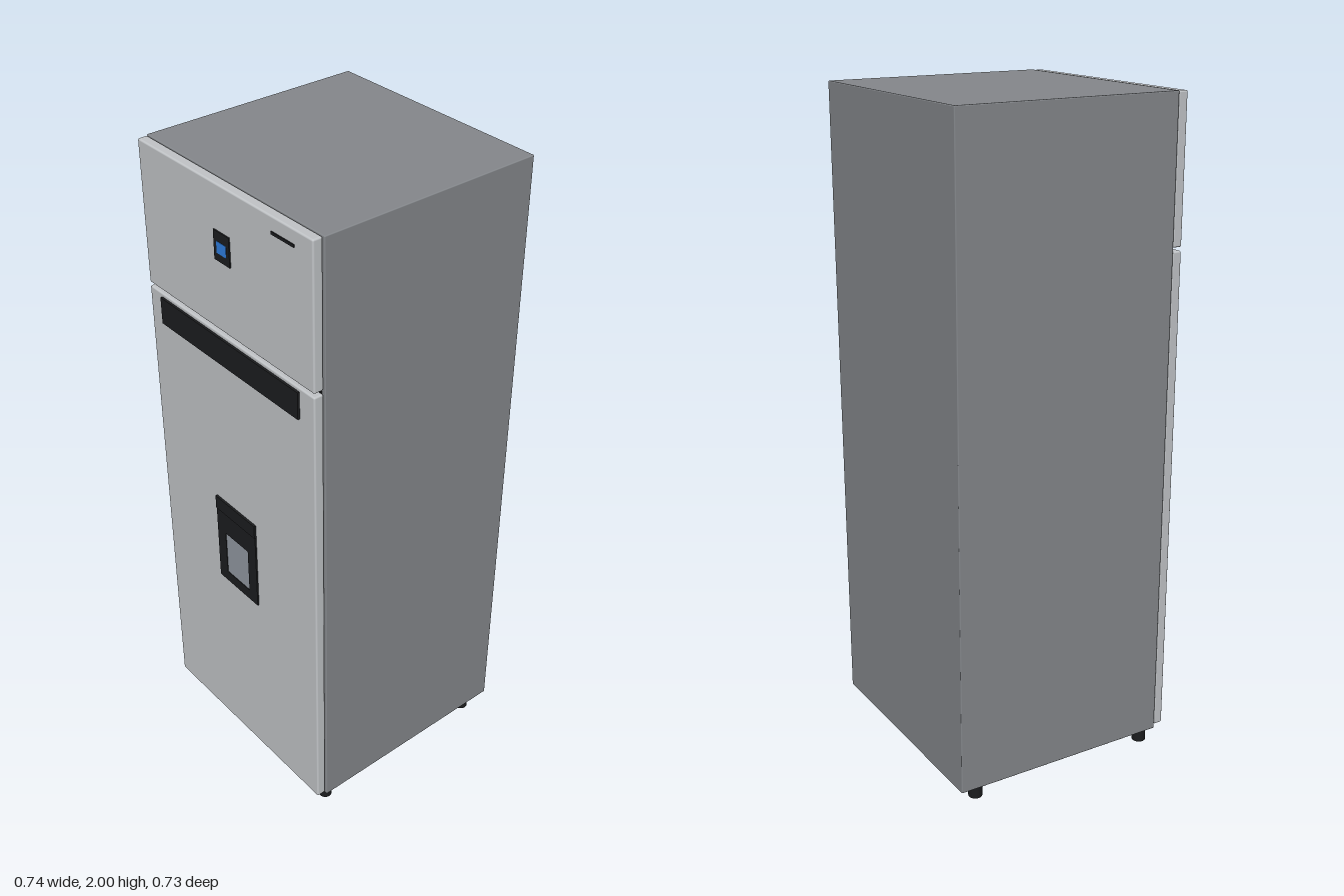
import * as THREE from 'three';
import { RoundedBoxGeometry } from 'three/addons/geometries/RoundedBoxGeometry.js';

const mat = (color) => new THREE.MeshStandardMaterial({ color });

export function createModel() {
  const group = new THREE.Group();
  const cabinetGrey = mat(0x85888c);
  const steel = mat(0xc2c5c8);
  const black = mat(0x1c1d1f);
  const blue = mat(0x2f7fe0);
  const panelGrey = mat(0x9299a2);

  // Box given by its limits on each axis; a radius rounds its edges
  function block(name, material, [x0, x1], [y0, y1], [z0, z1], radius = 0) {
    const size = [x1 - x0, y1 - y0, z1 - z0];
    const geometry = radius
      ? new RoundedBoxGeometry(...size, 3, radius)
      : new THREE.BoxGeometry(...size);
    const mesh = new THREE.Mesh(geometry, material);
    mesh.name = name;
    mesh.position.set((x0 + x1) / 2, (y0 + y1) / 2, (z0 + z1) / 2);
    group.add(mesh);
  }

  // Cabinet and the two doors
  block('cabinet', cabinetGrey, [-0.368, 0.368], [0.05, 2], [-0.365, 0.325], 0.003);
  block('doorSeal', black, [-0.355, 0.355], [0.07, 1.99], [0.32, 0.33]);
  block('freezerDoor', steel, [-0.364, 0.364], [1.572, 1.999], [0.327, 0.357], 0.005);
  block('fridgeDoor', steel, [-0.364, 0.364], [0.06, 1.561], [0.327, 0.357], 0.005);

  // Freezer door display and plain trim strip
  block('displayPanel', black, [-0.033, 0.033], [1.785, 1.87], [0.35, 0.361]);
  block('displayScreen', blue, [-0.02, 0.02], [1.808, 1.842], [0.355, 0.362]);
  block('trimStrip', black, [0.207, 0.295], [1.952, 1.96], [0.35, 0.36]);

  // Handle band across the top of the fridge door
  block('handleBand', black, [-0.305, 0.305], [1.467, 1.55], [0.35, 0.364]);

  // Water dispenser: header, and a frame around a recessed panel
  block('dispenserHeader', black, [-0.093, 0.093], [0.935, 0.98], [0.35, 0.364]);
  const frame = new THREE.Shape([[-0.093, 0.675], [0.093, 0.675], [0.093, 0.934], [-0.093, 0.934]]
    .map(([x, y]) => new THREE.Vector2(x, y)));
  frame.holes.push(new THREE.Path([[-0.054, 0.71], [-0.054, 0.86], [0.054, 0.86], [0.054, 0.71]]
    .map(([x, y]) => new THREE.Vector2(x, y))));
  const frameMesh = new THREE.Mesh(
    new THREE.ExtrudeGeometry(frame, { depth: 0.012, bevelEnabled: false }), black);
  frameMesh.name = 'dispenserFrame';
  frameMesh.position.z = 0.35;
  group.add(frameMesh);
  block('dispenserPanel', panelGrey, [-0.054, 0.054], [0.71, 0.86], [0.35, 0.36]);

  // Four round feet
  const footGeometry = new THREE.CylinderGeometry(0.021, 0.021, 0.054, 24);
  for (const x of [-0.326, 0.326]) {
    for (const z of [-0.297, 0.297]) {
      const foot = new THREE.Mesh(footGeometry, black);
      foot.name = 'foot';
      foot.position.set(x, 0.027, z);
      group.add(foot);
    }
  }
  return group;
}
